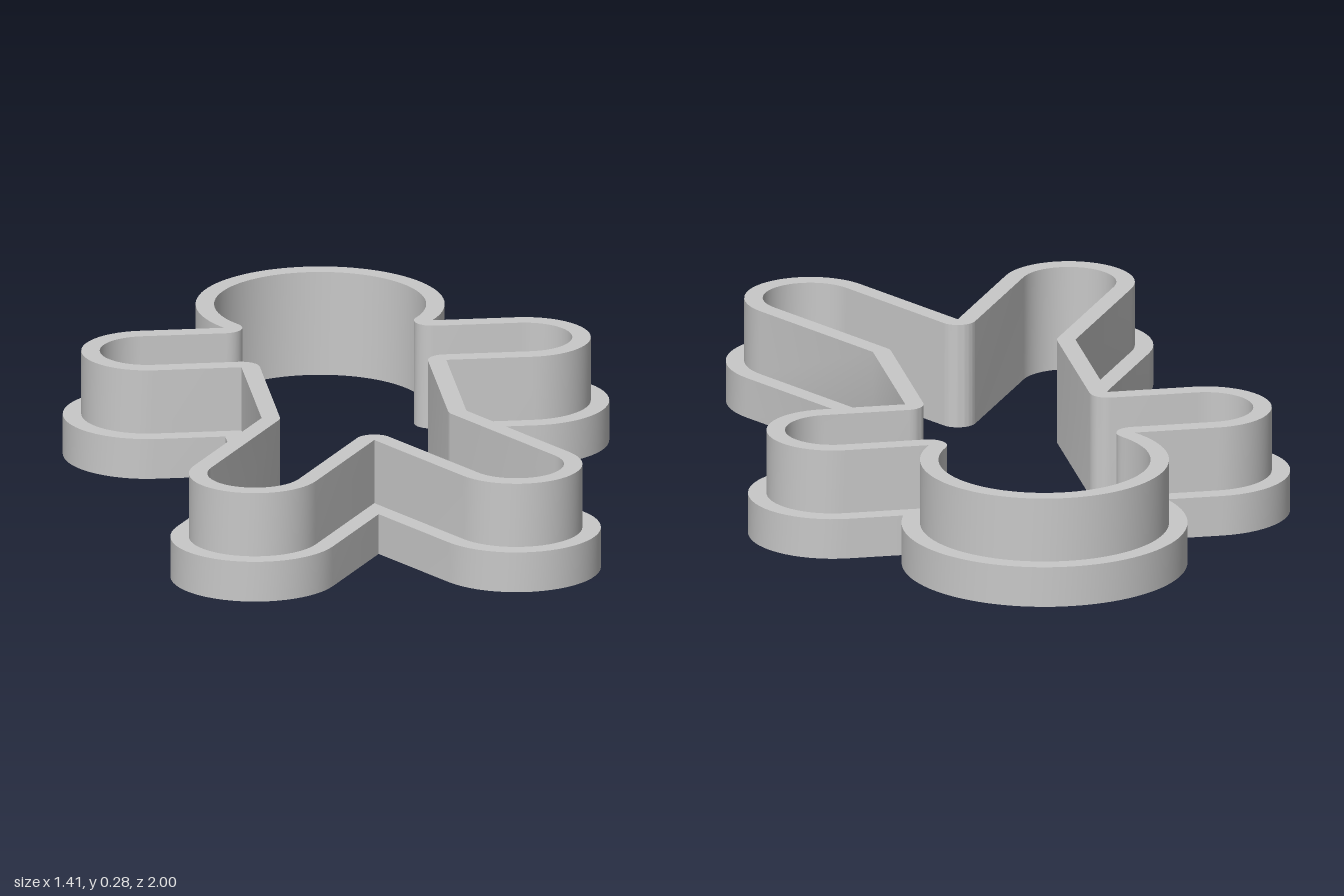
import * as THREE from 'three';
import { toCreasedNormals } from 'three/addons/utils/BufferGeometryUtils.js';

const WALL = 0.0475; // offset between neighbouring outlines
const BASE_H = 0.107, TOTAL_H = 0.277;

// Points along an arc, angles in degrees
function arc(cx, cy, r, a0, a1, n) {
  return Array.from({ length: n + 1 }, (_, i) => {
    const a = THREE.MathUtils.degToRad(a0 + (a1 - a0) * i / n);
    return [cx + r * Math.cos(a), cy + r * Math.sin(a)];
  });
}

// Figure outline offset by d: outward offsets stay mitred, inward ones are rounded at concave corners.
// Every offset gives the same number of points, so outlines can be joined point by point.
function outline(d) {
  const headY = 0.6325, headR = 0.32, limbR = 0.17, neckY = 0.46;
  const out = Math.max(d, 0), inset = Math.max(-d, 0);
  const corner = (x, y, a0, a1, mx, my) => arc(x + mx * out, y + my * out, inset, a0, a1, 8);

  const sine = (neckY + out - headY) / (headR + out);
  const neckAngle = THREE.MathUtils.radToDeg(Math.asin(sine));
  const neckX = (headR + out) * Math.sqrt(1 - sine * sine);

  const half = [
    ...arc(0, headY, headR + d, 90, neckAngle, 32),                // head
    ...arc(neckX, neckY + out, inset, 180 + neckAngle, 270, 8),    // neck
    ...arc(0.488, 0.29, limbR + d, 90, -90, 28),                   // arm
    ...corner(0.265, 0.12, 90, 180, 1, -1),                        // armpit
    ...corner(0.265, -0.3161, 180, 210, 1, 0.268),                 // hip
    ...arc(0.338, -0.7825, limbR + d, 30, -150, 28),               // leg
    ...corner(0, -0.537, 30, 90, 0, -2),                           // crotch
  ];
  const mirrored = half.slice(1, -1).reverse().map(([x, y]) => [-x, y]);
  return [...half, ...mirrored];
}

// Closed band swept around the figure from a section of [offset, height] points
function sweepSection(section) {
  const loops = section.map(([d, y]) => outline(d).map(([px, py]) => [px, y, -py]));
  const count = loops[0].length;
  const positions = [];
  loops.forEach((low, j) => {
    const high = loops[(j + 1) % loops.length];
    for (let i = 0; i < count; i++) {
      const k = (i + 1) % count;
      positions.push(...low[i], ...high[i], ...low[k], ...low[k], ...high[i], ...high[k]);
    }
  });
  const geometry = new THREE.BufferGeometry();
  geometry.setAttribute('position', new THREE.Float32BufferAttribute(positions, 3));
  return toCreasedNormals(geometry, 0.6);
}

export function createModel() {
  const grey = new THREE.MeshStandardMaterial({ color: 0xc8c8c8 });
  grey.name = 'light grey';

  // Wide base flange stepping in to the thin cutting wall
  const cutter = new THREE.Mesh(sweepSection([
    [-WALL, 0], [WALL, 0], [WALL, BASE_H], [0, BASE_H], [0, TOTAL_H], [-WALL, TOTAL_H],
  ]), grey);
  cutter.name = 'flangedCutterWall';

  const group = new THREE.Group();
  group.name = 'cookieCutter';
  group.add(cutter);
  return group;
}
